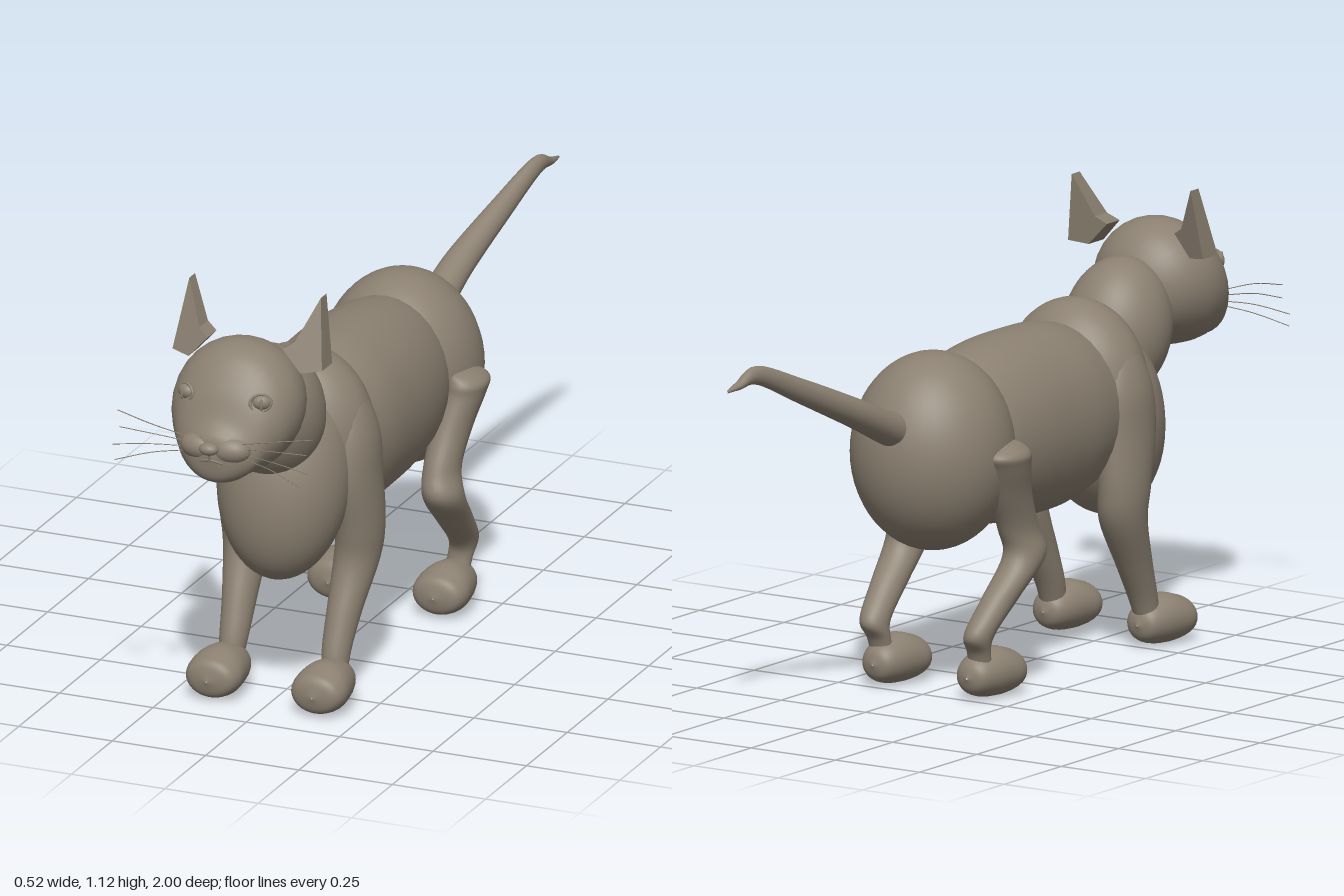
import * as THREE from 'three';

const fur = new THREE.MeshStandardMaterial({ color: 0x8b8071 });
fur.name = 'taupe';

export function createModel() {
  const model = new THREE.Group();
  model.name = 'cat';

  const add = (name, geometry) => {
    const mesh = new THREE.Mesh(geometry, fur);
    mesh.name = name;
    model.add(mesh);
    return mesh;
  };

  const ball = (name, center, radii, tilt = 0) => {
    const mesh = add(name, new THREE.SphereGeometry(1, 40, 28));
    mesh.position.set(...center);
    mesh.scale.set(...radii);
    mesh.rotation.x = tilt;
    return mesh;
  };

  // Smooth skin through elliptical sections [x, y, z, radiusA, radiusB], ordered along +y or +z
  const loft = (name, axis, sections, side = 1) => {
    const centers = new THREE.CatmullRomCurve3(
      sections.map(([x, y, z]) => new THREE.Vector3(x * side, y, z)), false, 'catmullrom', 0.5);
    const radii = new THREE.CatmullRomCurve3(
      sections.map((s) => new THREE.Vector3(s[3], s[4], 0)), false, 'catmullrom', 0.5);
    const rows = (sections.length - 1) * 6, cols = 32, positions = [], index = [];
    for (let i = 0; i <= rows; i++) {
      const c = centers.getPoint(i / rows), r = radii.getPoint(i / rows);
      for (let j = 0; j < cols; j++) {
        const angle = j / cols * Math.PI * 2;
        const u = Math.max(r.x, 0.001) * Math.cos(angle), v = Math.max(r.y, 0.001) * Math.sin(angle);
        if (axis === 'z') positions.push(c.x + u, c.y + v, c.z);
        else positions.push(c.x + u, c.y, c.z - v);
        if (i === rows) continue;
        const a = i * cols + j, b = i * cols + (j + 1) % cols;
        index.push(a, b, a + cols, b, b + cols, a + cols);
      }
    }
    const geometry = new THREE.BufferGeometry();
    geometry.setAttribute('position', new THREE.Float32BufferAttribute(positions, 3));
    geometry.setIndex(index);
    geometry.computeVertexNormals();
    return add(name, geometry);
  };

  const tube = (name, points, radius) => add(name, new THREE.TubeGeometry(
    new THREE.CatmullRomCurve3(points.map((p) => new THREE.Vector3(...p))), 12, radius, 6));

  // Torso
  loft('barrel', 'z', [
    [0, 0.615, -0.16, 0.15, 0.19], [0, 0.615, -0.08, 0.178, 0.215], [0, 0.615, 0.03, 0.192, 0.231],
    [0, 0.615, 0.15, 0.195, 0.236], [0, 0.615, 0.27, 0.193, 0.231], [0, 0.615, 0.38, 0.175, 0.205],
  ]);
  ball('rump', [0, 0.608, -0.205], [0.203, 0.248, 0.207]);
  ball('shoulders', [0, 0.66, 0.42], [0.192, 0.22, 0.15]);
  ball('chest', [0, 0.575, 0.515], [0.168, 0.265, 0.158], -0.22);
  ball('neck', [0, 0.77, 0.6], [0.135, 0.18, 0.14], 0.3);

  // Tail, tip first
  loft('tail', 'z', [
    [0.072, 0.886, -1, 0.003, 0.003], [0.072, 0.893, -0.95, 0.012, 0.01], [0.068, 0.906, -0.87, 0.018, 0.024],
    [0.04, 0.842, -0.72, 0.028, 0.033], [0.008, 0.76, -0.54, 0.04, 0.04], [0, 0.7, -0.41, 0.046, 0.045],
    [0, 0.68, -0.34, 0.05, 0.05],
  ]);

  // Head
  loft('head', 'z', [
    [0, 0.86, 0.632, 0.002, 0.002], [0, 0.86, 0.65, 0.08, 0.08], [0, 0.865, 0.7, 0.138, 0.132],
    [0, 0.86, 0.775, 0.165, 0.16], [0, 0.845, 0.845, 0.158, 0.152], [0, 0.815, 0.9, 0.128, 0.117],
    [0, 0.777, 0.935, 0.095, 0.08], [0, 0.77, 0.962, 0.058, 0.054], [0, 0.775, 0.973, 0.002, 0.002],
  ]);
  ball('nose', [0, 0.8, 0.98], [0.025, 0.016, 0.02]);
  tube('philtrum', [[0, 0.79, 0.981], [0, 0.778, 0.977], [0, 0.768, 0.974]], 0.003);

  for (const s of [1, -1]) {
    ball('muzzlePad', [s * 0.038, 0.79, 0.935], [0.055, 0.036, 0.04]);
    tube('mouth', [[0, 0.769, 0.974], [s * 0.02, 0.764, 0.97], [s * 0.042, 0.756, 0.961]], 0.003);

    // Eye with lids and slit pupil
    const yaw = s * 0.45;
    ball('eye', [s * 0.1, 0.905, 0.884], [0.025, 0.02, 0.02]).rotation.y = yaw;
    ball('pupil', [s * 0.106, 0.905, 0.902], [0.004, 0.017, 0.004]);
    const lid = add('eyelid', new THREE.TorusGeometry(0.026, 0.004, 8, 28));
    lid.position.set(s * 0.1, 0.905, 0.892);
    lid.scale.y = 0.82;
    lid.rotation.set(-0.2, yaw, s * 0.2);

    // Ear: triangular slab leaning back towards a narrow tip
    const outline = new THREE.Shape([[0.1, 1], [0.15, 0.945], [0.2, 0.952], [0.176, 1.124], [0.128, 1.018]]
      .map((p) => new THREE.Vector2(...p)));
    const ear = new THREE.ExtrudeGeometry(outline, { depth: 1, bevelEnabled: false });
    const p = ear.attributes.position;
    for (let i = 0; i < p.count; i++) {
      const t = (p.getY(i) - 0.945) / 0.18;
      const depth = THREE.MathUtils.lerp(0.065, 0.035, t);
      const middle = THREE.MathUtils.lerp(0.728, 0.685, t) + (0.155 - p.getX(i)) * 0.3;
      p.setZ(i, middle + (p.getZ(i) - 0.5) * depth);
    }
    ear.computeVertexNormals();
    add('ear', ear).scale.x = s;

    // Whiskers
    [[0.81, 0.849, 0.94], [0.798, 0.812, 0.955], [0.785, 0.77, 0.97], [0.775, 0.736, 0.985]]
      .forEach(([y0, y1, z1], i) => {
        const reach = 0.262 - (i % 2) * 0.012;
        tube('whisker', [[s * 0.07, y0, 0.945], [s * 0.16, (y0 + y1) / 2 + 0.006, 0.963], [s * reach, y1, z1]], 0.0012);
      });

    // Front leg
    loft('frontLeg', 'y', [
      [0.14, 0.06, 0.53, 0.03, 0.03], [0.137, 0.13, 0.51, 0.036, 0.04], [0.14, 0.22, 0.468, 0.043, 0.052],
      [0.148, 0.34, 0.41, 0.056, 0.068], [0.155, 0.43, 0.405, 0.058, 0.08], [0.152, 0.56, 0.42, 0.058, 0.092],
      [0.148, 0.67, 0.42, 0.055, 0.085], [0.14, 0.76, 0.42, 0.03, 0.05], [0.13, 0.79, 0.42, 0.002, 0.002],
    ], s);

    // Hind leg: hock, shank, knee, thigh and hip
    loft('hindLeg', 'y', [
      [0.145, 0.06, -0.2, 0.03, 0.03], [0.148, 0.12, -0.222, 0.032, 0.024], [0.155, 0.17, -0.228, 0.036, 0.046],
      [0.165, 0.25, -0.15, 0.042, 0.058], [0.174, 0.34, -0.062, 0.05, 0.062], [0.165, 0.41, -0.075, 0.045, 0.062],
      [0.172, 0.5, -0.12, 0.048, 0.065], [0.19, 0.58, -0.155, 0.05, 0.068], [0.195, 0.615, -0.165, 0.049, 0.072],
      [0.18, 0.638, -0.155, 0.03, 0.045], [0.16, 0.645, -0.15, 0.002, 0.002],
    ], s);

    // Paws
    for (const [name, z] of [['frontPaw', 0], ['hindPaw', -0.745]]) {
      loft(name, 'z', [
        [0.14, 0.06, 0.482 + z, 0.002, 0.002], [0.14, 0.06, 0.496 + z, 0.038, 0.036],
        [0.14, 0.062, 0.53 + z, 0.056, 0.054], [0.141, 0.064, 0.585 + z, 0.068, 0.062],
        [0.141, 0.061, 0.63 + z, 0.071, 0.055], [0.141, 0.06, 0.66 + z, 0.054, 0.042],
        [0.141, 0.058, 0.673 + z, 0.002, 0.002],
      ], s);
    }
  }
  return model;
}
